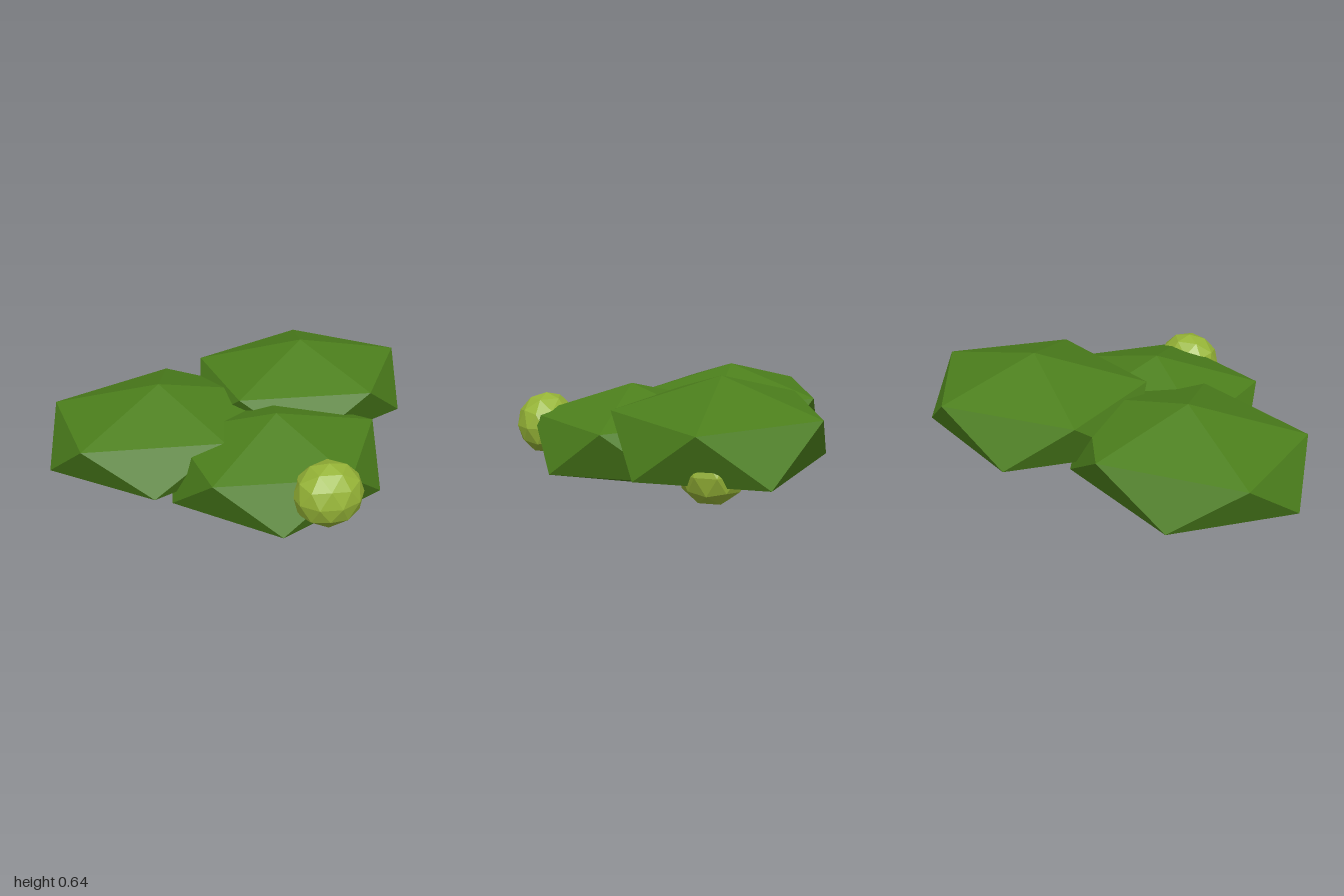
import * as THREE from 'three';

const leafMaterial = new THREE.MeshStandardMaterial({ color: 0x4c7f1c, flatShading: true });
const berryMaterial = new THREE.MeshStandardMaterial({ color: 0x96b437, flatShading: true });

// Squashed icosphere with a vertex at each pole and an upper-ring vertex on +x
function blob(name, detail, material, position, radii) {
  const geometry = new THREE.IcosahedronGeometry(1, detail);
  geometry.rotateZ(-Math.atan2(2, 1 + Math.sqrt(5)));
  geometry.scale(...radii);
  geometry.computeVertexNormals();
  const mesh = new THREE.Mesh(geometry, material);
  mesh.name = name;
  mesh.position.set(...position);
  return mesh;
}

export function createModel() {
  const group = new THREE.Group();
  group.name = 'bush';

  // Three overlapping leafy clumps
  group.add(
    blob('leafClumpBackLeft', 0, leafMaterial, [0.416, 0.382, -0.325], [0.653, 0.262, 0.49 / 0.894]),
    blob('leafClumpBackRight', 0, leafMaterial, [-0.415, 0.316, -0.235], [0.654, 0.255, 0.544]),
    blob('leafClumpFront', 0, leafMaterial, [0.04, 0.262, 0.2], [0.607, 0.262, 0.55])
  );

  // Two berries set into the clumps
  group.add(
    blob('berryFront', 1, berryMaterial, [0.105, 0.311, 0.637], [0.172, 0.158, 0.149]),
    blob('berrySide', 1, berryMaterial, [0.762, 0.312, -0.352], [0.172, 0.158, 0.152])
  );
  return group;
}
